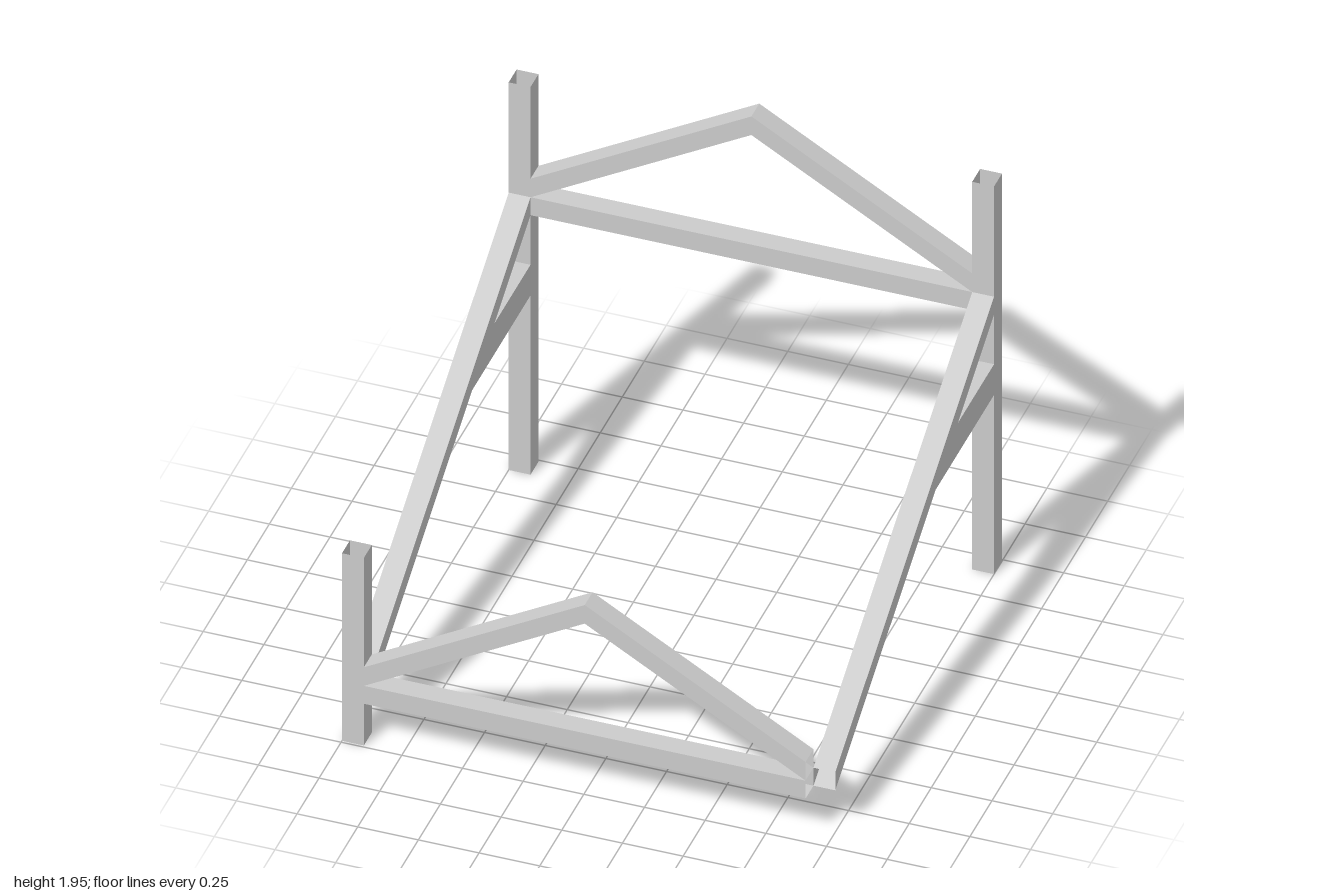
import * as THREE from 'three';

const OUT = 1, IN = 0.91;         // x limits of posts and rails
const ZOUT = 0.99, ZIN = 0.9;     // z limits of posts and cross beams
const FRONT_Y = 0.2, BACK_Y = 1.245, BEAM = 0.086;

const material = new THREE.MeshStandardMaterial({
  color: 0xcccccc, flatShading: true, side: THREE.DoubleSide,
});

// Rectangular sections, ordered counter-clockwise as seen from the positive axis
const sectionX = (x, y0, y1, z0, z1) => [[x, y0, z1], [x, y0, z0], [x, y1, z0], [x, y1, z1]];
const sectionY = (y, x0, x1, z0, z1) => [[x0, y, z1], [x1, y, z1], [x1, y, z0], [x0, y, z0]];
const sectionZ = (z, x0, x1, y0, y1) => [[x0, y0, z], [x1, y0, z], [x1, y1, z], [x0, y1, z]];

// Open-ended hollow bar between two four-cornered sections
function bar(name, a, b) {
  const pos = [];
  for (let i = 0; i < 4; i++) {
    const j = (i + 1) % 4;
    pos.push(...a[i], ...a[j], ...b[j], ...a[i], ...b[j], ...b[i]);
  }
  const geo = new THREE.BufferGeometry();
  geo.setAttribute('position', new THREE.Float32BufferAttribute(pos, 3));
  geo.computeVertexNormals();
  const mesh = new THREE.Mesh(geo, material);
  mesh.name = name;
  return mesh;
}

// Horizontal beam with a pitched pair of struts above it
function endFrame(name, y, z0, z1) {
  const g = new THREE.Group();
  g.name = name;
  const top = y + BEAM, rise = 0.526, depth = 0.089;
  const foot = (x) => sectionX(x, top, top + depth, z0, z1);
  const apex = sectionX(0, top + rise, top + rise + depth, z0, z1);
  g.add(
    bar('crossBeam', sectionX(-IN, y, top, z0, z1), sectionX(IN, y, top, z0, z1)),
    bar('rightStrut', foot(-IN), apex),
    bar('leftStrut', apex, foot(IN)),
  );
  return g;
}

export function createModel() {
  const model = new THREE.Group();
  model.name = 'timberFrame';

  model.add(endFrame('frontFrame', FRONT_Y, ZIN, ZOUT));
  model.add(endFrame('backFrame', BACK_Y, -ZOUT, -ZIN));

  // Short post stands on the right front corner only
  const post = (name, x0, x1, z0, z1, h) =>
    bar(name, sectionY(0, x0, x1, z0, z1), sectionY(h, x0, x1, z0, z1));
  model.add(post('frontRightPost', -OUT, -IN, ZIN, ZOUT, 0.9));

  // z at which the underside of a sloping rail reaches height y
  const railZ = (y) => ZIN - (y - FRONT_Y) * (2 * ZIN) / (BACK_Y - FRONT_Y);
  const braceLow = 0.86, braceHigh = 1.007;

  for (const [side, x0, x1] of [['Right', -OUT, -IN], ['Left', IN, OUT]]) {
    model.add(post(`back${side}Post`, x0, x1, -ZOUT, -ZIN, 1.86));

    // Rail sloping up to the back, cut plumb at both ends
    model.add(bar(`slopingRail${side}`,
      sectionZ(-ZIN, x0, x1, BACK_Y, BACK_Y + BEAM),
      sectionZ(ZIN, x0, x1, FRONT_Y, FRONT_Y + BEAM)));

    // Brace from the back post, its front end cut to the slope of the rail
    const front = sectionZ(0, x0, x1, braceLow, braceHigh)
      .map(([x, y]) => [x, y, railZ(y)]);
    model.add(bar(`brace${side}`, sectionZ(-ZIN, x0, x1, braceLow, braceHigh), front));
  }
  return model;
}
